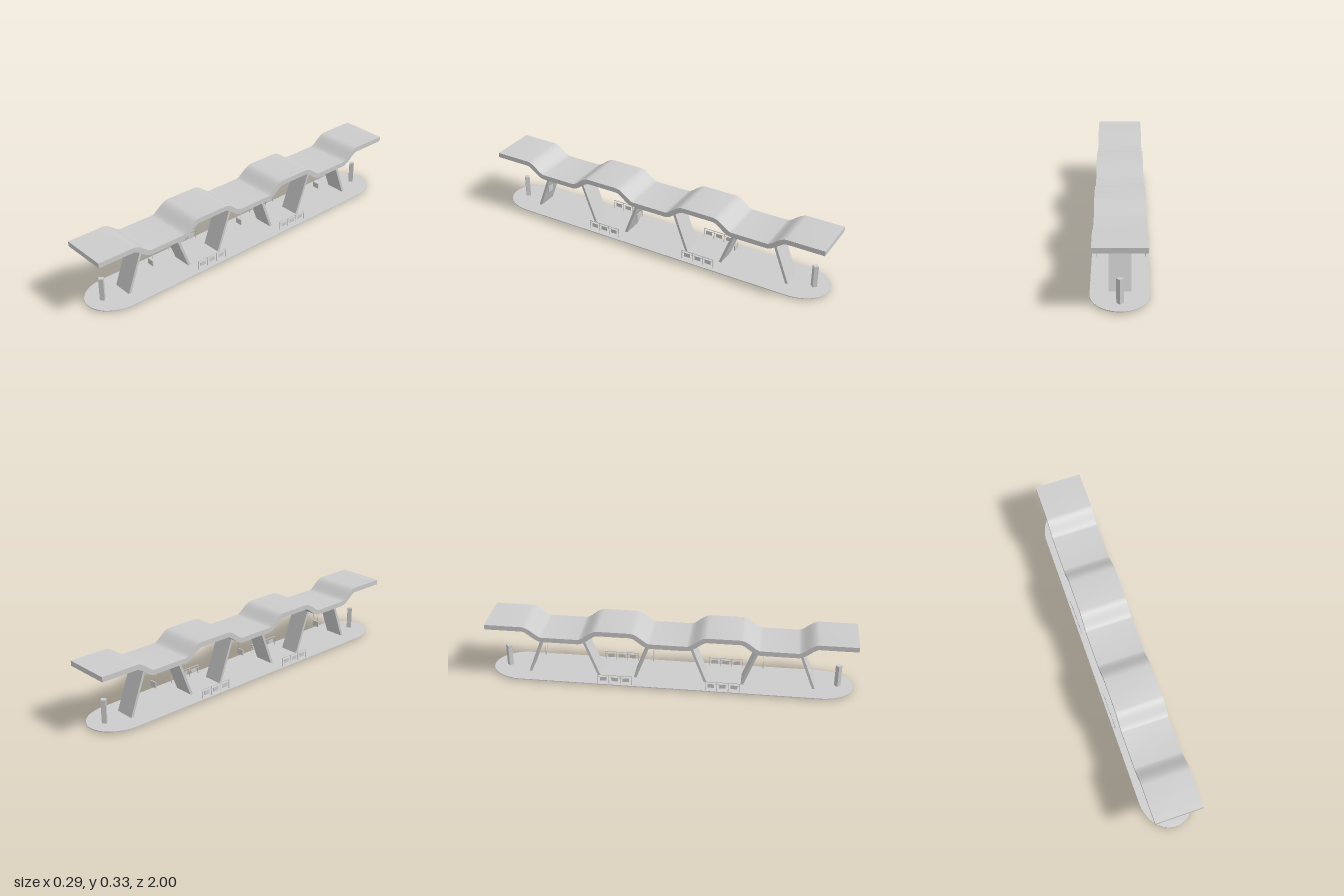
import * as THREE from 'three';
import { toCreasedNormals } from 'three/addons/utils/BufferGeometryUtils.js';

const BAY = 0.59; // spacing of the leg pairs along z

export function createModel() {
  const model = new THREE.Group();
  const material = new THREE.MeshStandardMaterial({ color: 0xcccccc });

  function add(parent, name, geometry, x = 0, y = 0, z = 0) {
    const mesh = new THREE.Mesh(geometry, material);
    mesh.name = name;
    mesh.position.set(x, y, z);
    parent.add(mesh);
    return mesh;
  }
  const box = (parent, name, w, h, d, x, y, z) =>
    add(parent, name, new THREE.BoxGeometry(w, h, d), x, y, z);

  // Platform: long slab with rounded ends
  const plan = new THREE.Shape();
  plan.absellipse(0, 0.82, 0.145, 0.18, 0, Math.PI, false, 0);
  plan.absellipse(0, -0.82, 0.145, 0.18, Math.PI, Math.PI * 2, false, 0);
  plan.closePath();
  const slab = new THREE.ExtrudeGeometry(plan, { depth: 0.004, bevelEnabled: false, curveSegments: 20 });
  slab.rotateX(-Math.PI / 2);
  add(model, 'platform', toCreasedNormals(slab, 0.5), 0, 0.009, 0);

  // Roof: wave centreline, dipping over each bay, thickened along its normal
  const high = 0.317, low = 0.2595, half = 0.0135;
  const height = (z) => {
    const d = Math.abs(z - BAY * THREE.MathUtils.clamp(Math.round(z / BAY), -1, 1));
    return low + (high - low) * THREE.MathUtils.smoothstep(d, 0.098, 0.207);
  };
  const stations = [-1];
  for (const c of [-BAY, 0, BAY]) {
    for (const s of [-1, 1]) {
      for (let i = 0; i <= 12; i++) stations.push(c + s * 0.1525 + (i / 12 - 0.5) * 0.109);
    }
  }
  stations.push(1);
  const edge = (side) => stations.map((z) => {
    const slope = (height(z + 1e-4) - height(z - 1e-4)) / 2e-4;
    const n = Math.hypot(1, slope);
    return new THREE.Vector2(z - side * half * slope / n, height(z) + side * half / n);
  });
  const profile = new THREE.Shape([...edge(-1), ...edge(1).reverse()]);
  const roof = new THREE.ExtrudeGeometry(profile, { depth: 0.26, bevelEnabled: false });
  roof.translate(0, 0, -0.13);
  roof.rotateY(Math.PI / 2);
  add(model, 'roof', toCreasedNormals(roof, 0.5));

  for (const c of [-BAY, 0, BAY]) {
    for (const s of [-1, 1]) {
      // Slanted slab legs leaning towards the middle of the bay
      const leg = box(model, 'leg', 0.11, 0.264, 0.014, 0, 0.1265, c + s * 0.151);
      leg.rotation.x = -s * 0.36;

      // Hanging sign on two thin rods
      const sign = new THREE.Group();
      sign.name = 'hangingSign';
      sign.position.set(s * 0.0935, 0, c + s * 0.083);
      box(sign, 'signPanel', 0.04, 0.031, 0.005, 0, 0.1755, 0);
      for (const x of [-0.016, 0.016]) {
        add(sign, 'signRod', new THREE.CylinderGeometry(0.0008, 0.0008, 0.06, 6), x, 0.219, 0);
      }
      model.add(sign);
    }
  }

  // Railings between the bays along both edges
  for (const x of [-0.132, 0.12]) {
    for (const z of [-BAY / 2, BAY / 2]) {
      const railing = new THREE.Group();
      railing.name = 'railing';
      railing.position.set(x, 0, z);
      box(railing, 'topRail', 0.003, 0.003, 0.19, 0, 0.0635, 0);
      box(railing, 'middleRail', 0.002, 0.002, 0.19, 0, 0.05, 0);
      for (let i = 0; i < 4; i++) {
        box(railing, 'railPost', 0.003, 0.053, 0.003, 0, 0.0385, -0.0935 + i * 0.0623);
      }
      for (let i = -1; i <= 1; i++) {
        box(railing, 'railPanel', 0.002, 0.022, 0.036, 0, 0.039, i * 0.0623);
      }
      model.add(railing);
    }
  }

  // Diamond-section pillar at each end
  for (const s of [-1, 1]) {
    const pillar = new THREE.CylinderGeometry(0.0175, 0.0175, 0.128, 4).toNonIndexed();
    pillar.computeVertexNormals();
    add(model, 'endPillar', pillar, 0, 0.075, s * 0.913);
  }
  return model;
}
